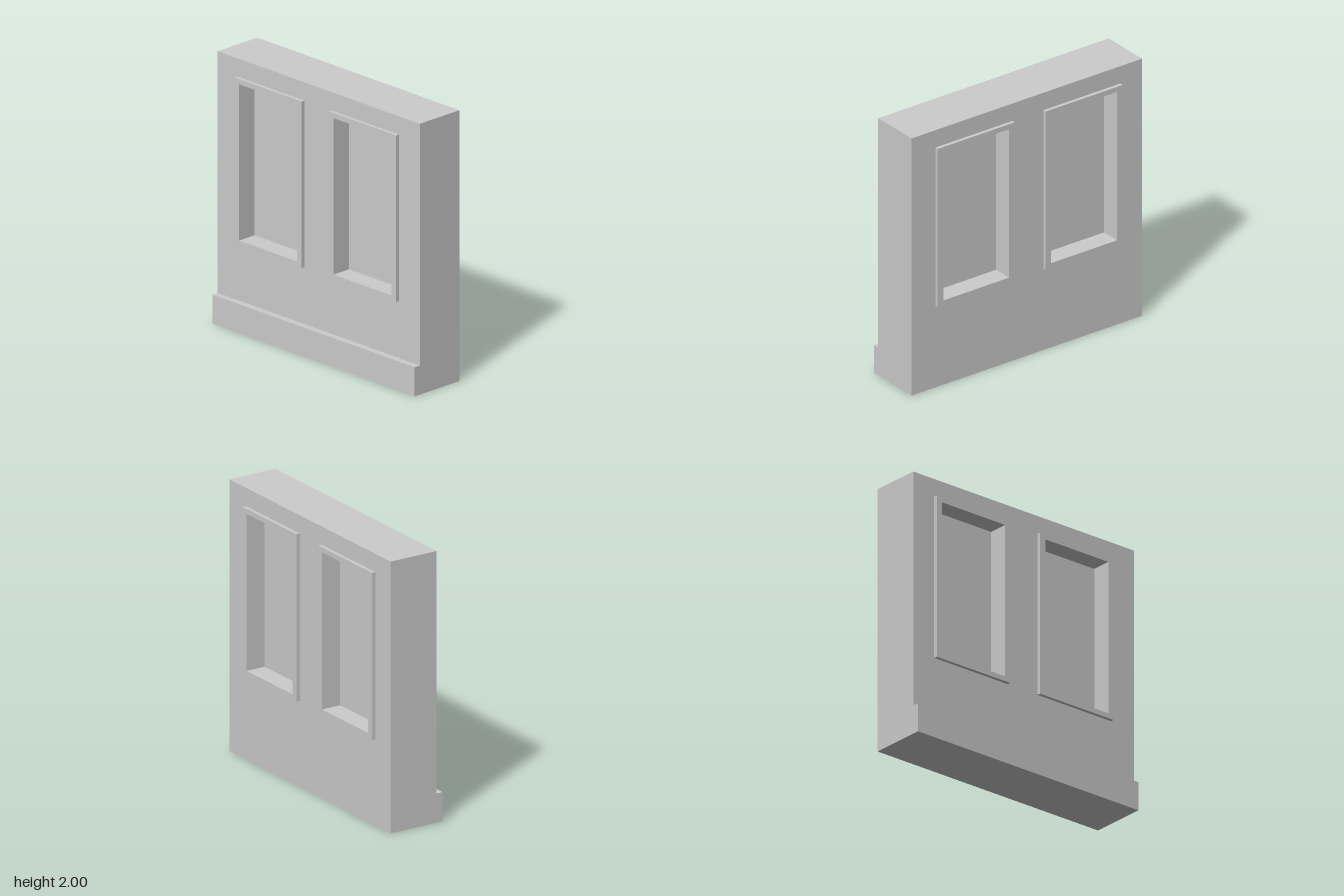
import * as THREE from 'three';

const material = new THREE.MeshStandardMaterial({ color: 0xcccccc, flatShading: true });

const WALL_BACK = -0.203, WALL_FRONT = 0.18;
const TRIM_BACK = -0.23, TRIM_FRONT = 0.207;
const WINDOW_X = [-0.476, 0.46];
const OPENING = { w: 0.572, y0: 0.672, y1: 1.827 };
const TRIM = { w: 0.668, y0: 0.635, y1: 1.865 };

// Rectangle outline centred on x
function rect(target, x, { w, y0, y1 }) {
  target.moveTo(x - w / 2, y0);
  target.lineTo(x + w / 2, y0);
  target.lineTo(x + w / 2, y1);
  target.lineTo(x - w / 2, y1);
  target.closePath();
  return target;
}

// Plate with rectangular holes between two depths
function plate(name, shape, z0, z1) {
  const geometry = new THREE.ExtrudeGeometry(shape, { depth: z1 - z0, bevelEnabled: false });
  geometry.translate(0, 0, z0);
  const mesh = new THREE.Mesh(geometry, material);
  mesh.name = name;
  return mesh;
}

export function createModel() {
  const group = new THREE.Group();
  group.name = 'wallSegment';

  // Wall with two window openings
  const wall = rect(new THREE.Shape(), 0, { w: 2, y0: 0, y1: 2 });
  for (const x of WINDOW_X) wall.holes.push(rect(new THREE.Path(), x, OPENING));
  group.add(plate('wall', wall, WALL_BACK, WALL_FRONT));

  // Plinth along the foot of the front
  const plinth = rect(new THREE.Shape(), 0, { w: 2, y0: 0, y1: 0.215 });
  group.add(plate('plinth', plinth, WALL_FRONT, 0.23));

  // Windows: raised trim on both faces and a recessed panel in the middle
  WINDOW_X.forEach((x, i) => {
    const side = i ? 'left' : 'right';
    const trim = rect(new THREE.Shape(), x, TRIM);
    trim.holes.push(rect(new THREE.Path(), x, OPENING));
    group.add(plate(side + 'FrontTrim', trim, WALL_FRONT, TRIM_FRONT));
    group.add(plate(side + 'BackTrim', trim, TRIM_BACK, WALL_BACK));
    group.add(plate(side + 'WindowPanel', rect(new THREE.Shape(), x, OPENING), -0.08, 0.057));
  });

  return group;
}
